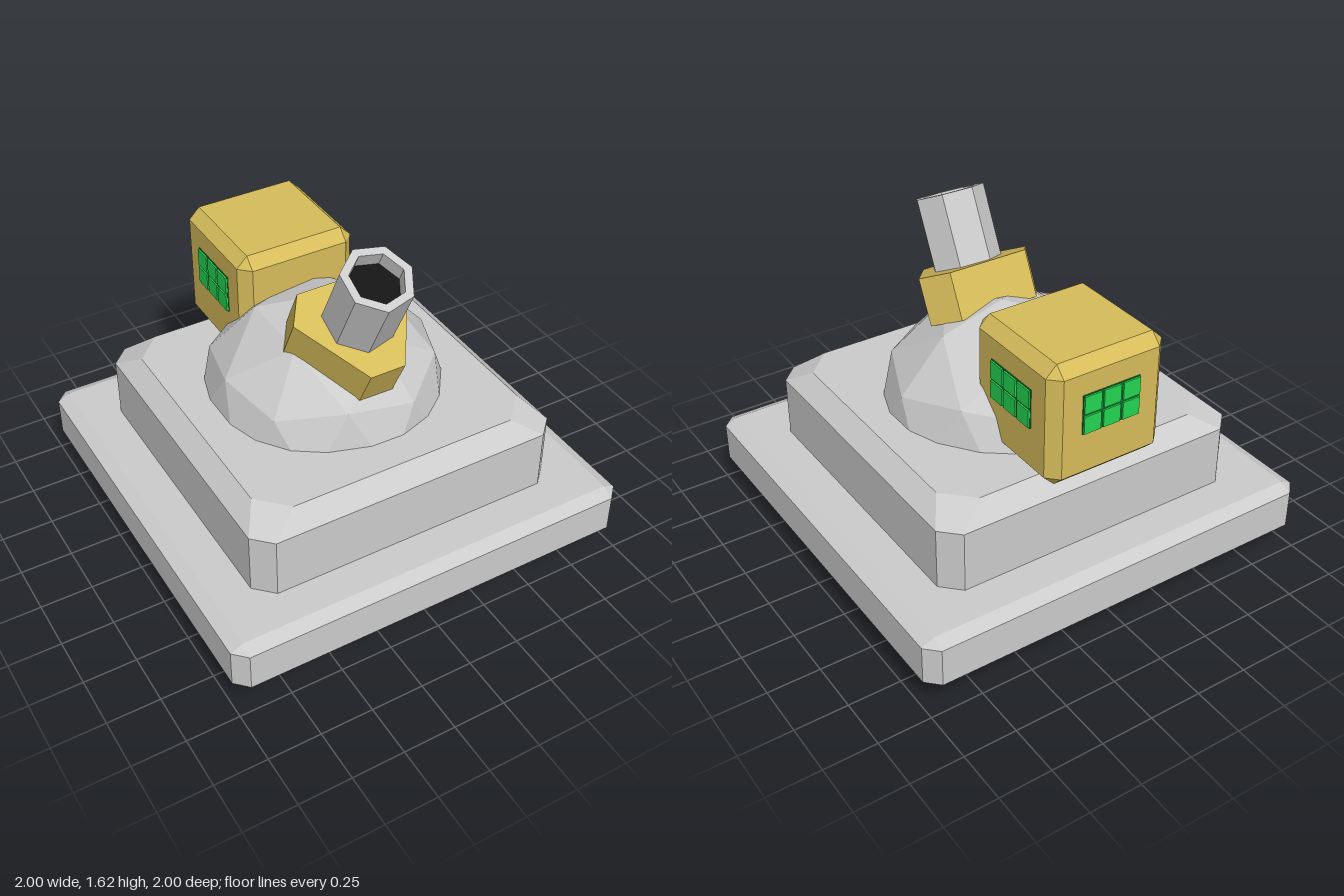
import * as THREE from 'three';
import { ConvexGeometry } from 'three/addons/geometries/ConvexGeometry.js';

const mat = (color, side = THREE.FrontSide) =>
  new THREE.MeshStandardMaterial({ color, flatShading: true, side });
const grey = mat(0xcccccc);
const yellow = mat(0xd6bc5a);
const green = mat(0x24d652);
const darkGreen = mat(0x0f7a2e);
const black = mat(0x141414);

function add(parent, name, geometry, material, x = 0, y = 0, z = 0) {
  const mesh = new THREE.Mesh(geometry, material);
  mesh.name = name;
  mesh.position.set(x, y, z);
  parent.add(mesh);
  return mesh;
}

// Solid through a stack of square rings with cut corners: [y, halfWidth, cornerCut]
function cutSquareStack(rings) {
  const points = [];
  for (const [y, h, cut] of rings) {
    for (const sx of [-1, 1]) {
      for (const sz of [-1, 1]) {
        points.push(new THREE.Vector3(sx * h, y, sz * (h - cut)));
        points.push(new THREE.Vector3(sx * (h - cut), y, sz * h));
      }
    }
  }
  return new ConvexGeometry(points);
}

// Box with bevelled edges; bevel width is b sideways and bv vertically
function bevelledBox(h, halfHeight, b, bv) {
  const inner = h - b;
  return cutSquareStack([
    [-halfHeight, inner, 0], [-halfHeight + bv, h, b],
    [halfHeight - bv, h, b], [halfHeight, inner, 0],
  ]);
}

// Panel of 3 x 2 panes facing +z
function windowPanel() {
  const panel = new THREE.Group();
  panel.name = 'window';
  add(panel, 'windowFrame', new THREE.BoxGeometry(0.29, 0.19, 0.02), darkGreen, 0, 0, -0.006);
  for (let i = -1; i <= 1; i++) {
    for (const j of [-1, 1]) {
      add(panel, 'pane', new THREE.BoxGeometry(0.086, 0.085, 0.03), green, i * 0.099, j * 0.0485, -0.003);
    }
  }
  return panel;
}

export function createModel() {
  const model = new THREE.Group();
  model.name = 'domeTurret';

  // Stepped base
  add(model, 'basePlate', bevelledBox(1, 0.1225, 0.06, 0.03), grey, 0, 0.2425, 0);
  add(model, 'platform', cutSquareStack([
    [0.3, 0.77, 0.085], [0.66, 0.77, 0.085], [0.74, 0.685, 0.13],
  ]), grey);

  // Faceted dome ball, turned so that a corner points straight up
  const ball = new THREE.IcosahedronGeometry(0.597, 1);
  ball.rotateZ(-Math.atan(2 / (1 + Math.sqrt(5))));
  add(model, 'dome', ball, grey, 0, 0.597, -0.02);

  // Rear cabin with windows on both sides and the back
  const cabin = new THREE.Group();
  cabin.name = 'cabin';
  cabin.position.set(0, 1.031, -0.53);
  model.add(cabin);
  add(cabin, 'cabinBody', bevelledBox(0.295, 0.295, 0.053, 0.053), yellow);
  for (const angle of [Math.PI / 2, Math.PI, -Math.PI / 2]) {
    const panel = windowPanel();
    panel.rotation.y = angle;
    panel.position.set(Math.sin(angle) * 0.295, 0.045, Math.cos(angle) * 0.295);
    cabin.add(panel);
  }

  // Forward-tilted barrel assembly, origin at the centre of the collar top
  const gun = new THREE.Group();
  gun.name = 'barrelAssembly';
  gun.position.set(0, 1.23, 0.31);
  gun.rotation.x = 0.453;
  model.add(gun);

  // Six-sided collar
  const outline = new THREE.Shape([
    [-0.2, -0.239], [0.2, -0.239], [0.288, -0.1],
    [0.085, 0.239], [-0.085, 0.239], [-0.288, -0.1],
  ].map(([x, y]) => new THREE.Vector2(x, y)));
  const collar = new THREE.ExtrudeGeometry(outline, { depth: 0.22, bevelEnabled: false });
  collar.rotateX(Math.PI / 2);
  add(gun, 'collar', collar, yellow);

  // Seven-sided barrel with a shallow dark bore
  const profile = [[0.165, -0.1], [0.165, 0.334], [0.125, 0.334], [0.125, 0.259]]
    .map(([r, y]) => new THREE.Vector2(r, y));
  add(gun, 'barrel', new THREE.LatheGeometry(profile, 7, Math.PI / 2), grey, 0, 0, -0.034);
  const bore = new THREE.CircleGeometry(0.126, 7);
  bore.rotateX(-Math.PI / 2);
  add(gun, 'bore', bore, black, 0, 0.26, -0.034);

  return model;
}
